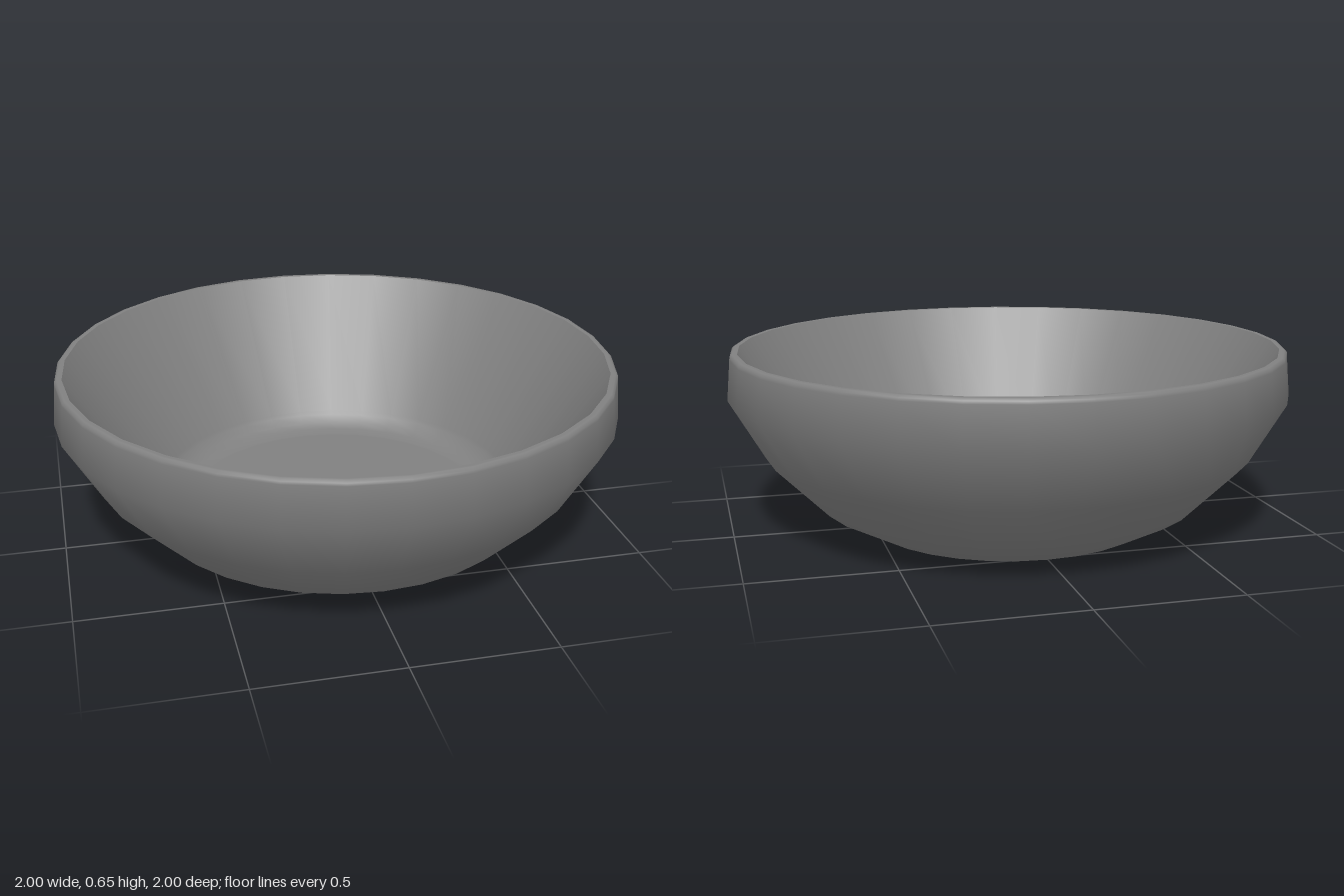
import * as THREE from 'three';

const SIDES = 32;

export function createModel() {
  const bowl = new THREE.Group();
  bowl.name = 'bowl';
  const material = new THREE.MeshStandardMaterial({ color: 0x808080 });

  // Each section is its own smooth lathe, so the seams between sections stay crisp.
  const addSection = (name, profile) => {
    const points = profile.map(([r, y]) => new THREE.Vector2(r, y));
    const mesh = new THREE.Mesh(new THREE.LatheGeometry(points, SIDES), material);
    mesh.name = name;
    bowl.add(mesh);
  };

  // Flat underside
  addSection('base', [[0, 0], [0.52, 0]]);

  // Wall swelling out, closing slightly and rolling over into the lip
  addSection('outerWallAndRim', [
    [0.52, 0], [0.69, 0.09], [0.875, 0.275], [1, 0.49],
    [0.987, 0.632], [0.986, 0.642], [0.978, 0.65], [0.97, 0.65], [0.96, 0.65],
  ]);

  // Straight conical inner wall, with a small fillet into the flat floor
  addSection('interior', [
    [0.96, 0.65], [0.65, 0.161], [0.64, 0.147], [0.615, 0.122],
    [0.585, 0.107], [0.55, 0.1], [0.54, 0.1], [0, 0.1],
  ]);

  return bowl;
}
